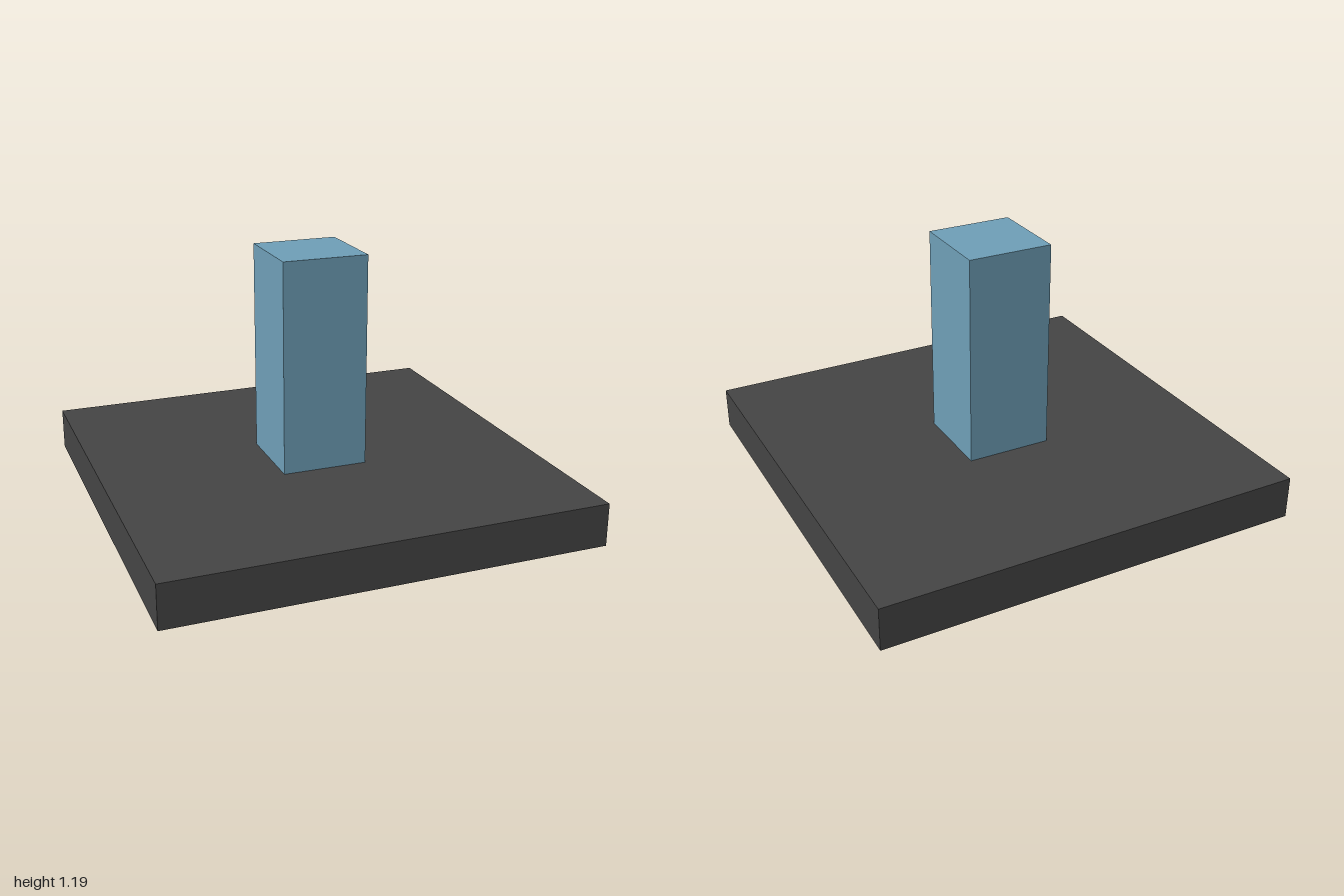
import * as THREE from 'three';

// Box standing on height y
function block(name, width, height, depth, y, color) {
  const mesh = new THREE.Mesh(
    new THREE.BoxGeometry(width, height, depth),
    new THREE.MeshStandardMaterial({ color })
  );
  mesh.name = name;
  mesh.position.y = y + height / 2;
  return mesh;
}

export function createModel() {
  const model = new THREE.Group();
  model.name = 'postOnBase';

  // Square base slab
  model.add(block('base', 2, 0.2, 2, 0, 0x444444));

  // Square post in the middle of the slab
  model.add(block('post', 0.4, 0.99, 0.4, 0.2, 0x6e9eb6));

  return model;
}
